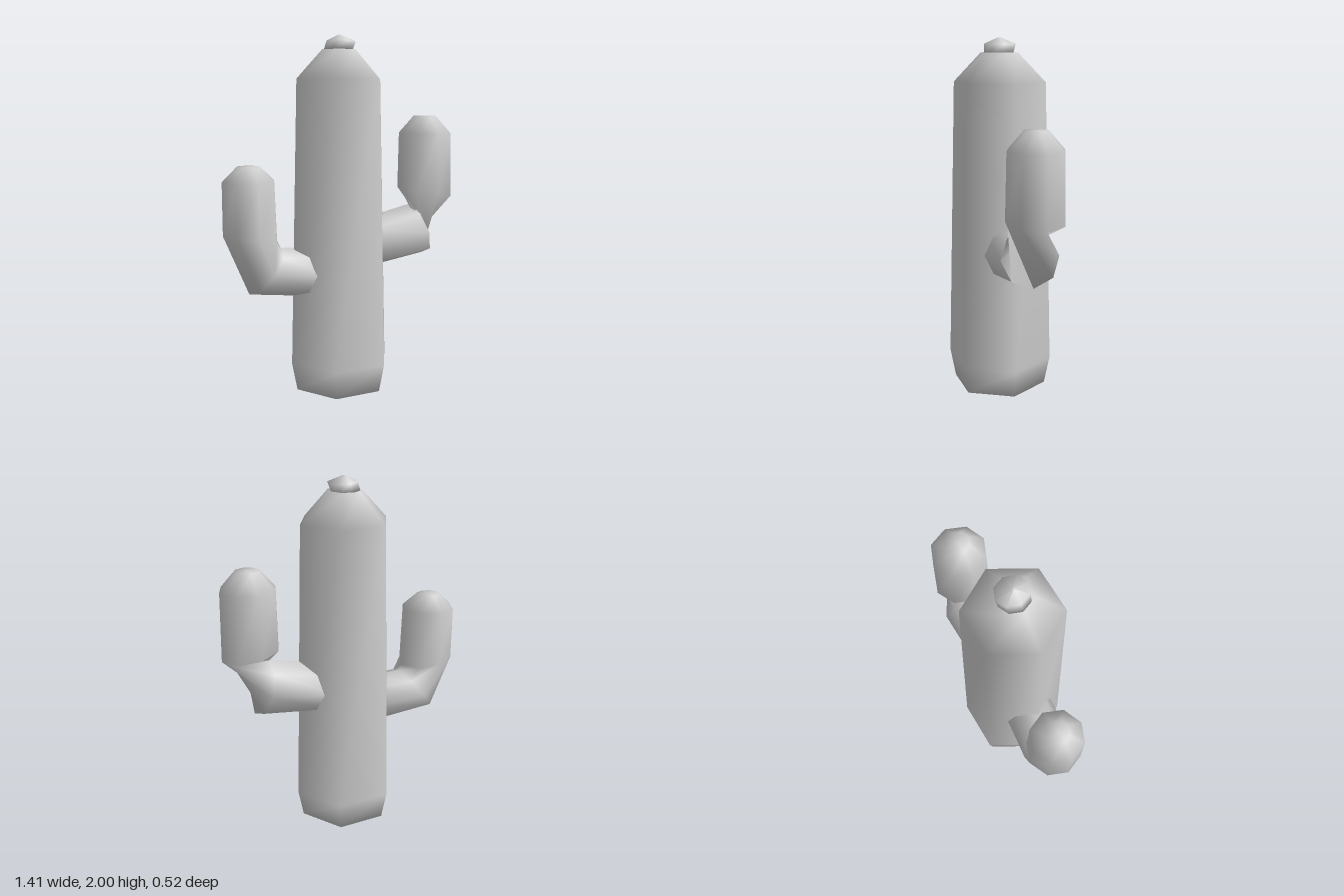
import * as THREE from 'three';

// Lofts a closed skin through rings. Each ring is
// [xA, yA, xB, yB, zCentre, zRadius, twist]: A and B are opposite points in the xy plane.
function loft(rings, sides) {
  const pos = [], index = [];
  for (const [xa, ya, xb, yb, z, rz, twist = 0] of rings) {
    for (let i = 0; i < sides; i++) {
      const a = (i / sides) * Math.PI * 2 + twist;
      const c = Math.cos(a) / 2;
      pos.push((xa + xb) / 2 + c * (xa - xb), (ya + yb) / 2 + c * (ya - yb), z + Math.sin(a) * rz);
    }
  }
  for (let j = 0; j < rings.length - 1; j++) {
    for (let i = 0; i < sides; i++) {
      const a = j * sides + i, b = j * sides + (i + 1) % sides;
      index.push(a, a + sides, b, b, a + sides, b + sides);
    }
  }
  // end caps
  const last = (rings.length - 1) * sides, centre = rings.length * sides;
  for (const r of [rings[0], rings[rings.length - 1]]) pos.push((r[0] + r[2]) / 2, (r[1] + r[3]) / 2, r[4]);
  for (let i = 0; i < sides; i++) {
    const n = (i + 1) % sides;
    index.push(centre, i, n, centre + 1, last + n, last + i);
  }
  const g = new THREE.BufferGeometry();
  g.setAttribute('position', new THREE.Float32BufferAttribute(pos, 3));
  g.setIndex(index);
  g.computeVertexNormals();
  return g;
}

// Level ring around a vertical axis
const level = (x, y, r, z = 0) => [x + r, y, x - r, y, z, r];

export function createModel() {
  const group = new THREE.Group();
  const grey = new THREE.MeshStandardMaterial({ color: 0xcccccc, side: THREE.DoubleSide });
  grey.name = 'pale grey';
  const add = (name, rings, sides) => {
    const mesh = new THREE.Mesh(loft(rings, sides), grey);
    mesh.name = name;
    group.add(mesh);
  };

  // Six-sided trunk with chamfered foot and shoulders
  add('trunk', [
    level(-0.025, 0, 0.27), level(-0.025, 0.16, 0.302),
    level(-0.025, 1.76, 0.26), level(-0.025, 1.92, 0.105),
  ], 6);

  // Slightly tilted bud on the crown
  add('bud', [
    [0.05, 1.912, -0.115, 1.925, 0, 0.085],
    [0.068, 1.962, -0.098, 1.97, 0, 0.092],
    level(-0.025, 2, 0.008),
  ], 8);

  // Right arm: out from the trunk, then bent upward
  add('rightArm', [
    [-0.15, 0.825, -0.15, 0.535, 0.005, 0.145],
    [-0.375, 0.83, -0.565, 0.585, -0.03, 0.15],
    [-0.392, 0.87, -0.705, 0.92, -0.042, 0.154],
    level(-0.555, 1.21, 0.15, -0.042),
    level(-0.555, 1.29, 0.065, -0.042),
  ], 8);

  // Left arm: the skin twists and pinches at the elbow
  const twist = -Math.PI * 0.75;
  add('leftArm', [
    [0.1, 0.67, 0.1, 0.96, 0, 0.15, twist],
    [0.53, 0.73, 0.43, 1.03, 0, 0.163, twist],
    [0.703, 1.07, 0.378, 1.13, -0.003, 0.163],
    level(0.54, 1.45, 0.156, -0.003),
    level(0.54, 1.55, 0.067, -0.003),
  ], 8);

  return group;
}
